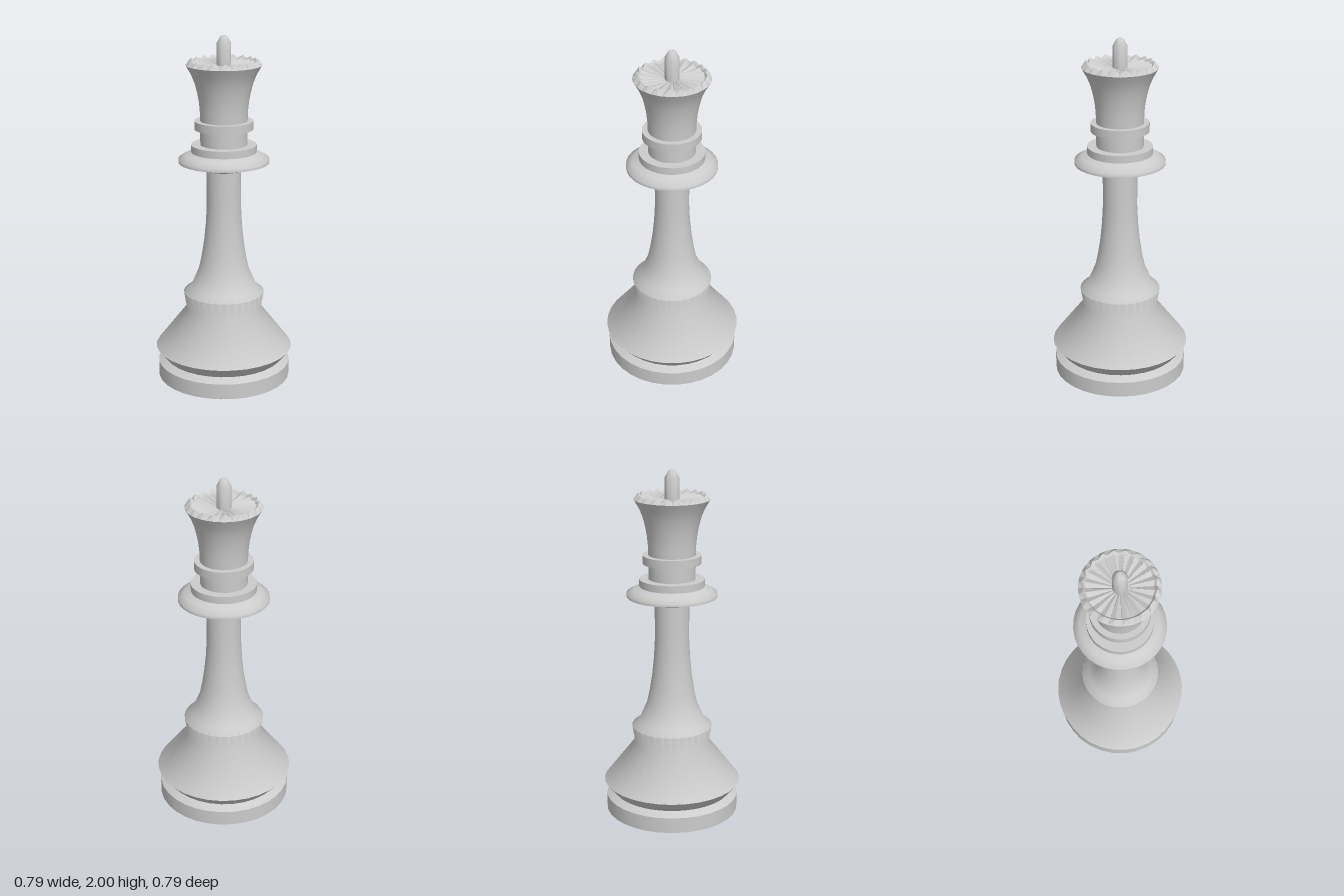
import * as THREE from 'three';
import { toCreasedNormals } from 'three/addons/utils/BufferGeometryUtils.js';

const material = new THREE.MeshStandardMaterial({ color: 0xcccccc });

// Turned part from [radius, height] pairs, listed bottom to top
function turned(name, profile, crease = 1.06, sides = 32) {
  const points = profile.map(([r, y]) => new THREE.Vector2(r, y));
  const geometry = toCreasedNormals(new THREE.LatheGeometry(points, sides), crease);
  const mesh = new THREE.Mesh(geometry, material);
  mesh.name = name;
  return mesh;
}

// Faceted crown top: zigzag rings joined from the rim inwards to the centre
function crownTop() {
  const teeth = 20, n = teeth * 2;
  // each ring: [valley radius, valley y, tip radius, tip y]
  const rings = [
    [0.212, 1.835, 0.212, 1.835],
    [0.182, 1.85, 0.19, 1.866],
    [0.172, 1.836, 0.176, 1.85],
    [0.03, 1.826, 0.03, 1.834],
  ];
  const positions = [];
  const corner = (ring, i) => {
    const [vr, vy, tr, ty] = rings[ring];
    const tip = i % 2 === 1;
    const a = (i / n) * Math.PI * 2, r = tip ? tr : vr;
    return [r * Math.sin(a), tip ? ty : vy, r * Math.cos(a)];
  };
  for (let k = 0; k < rings.length - 1; k++) {
    for (let i = 0; i < n; i++) {
      const a = corner(k, i), b = corner(k, i + 1);
      const c = corner(k + 1, i + 1), d = corner(k + 1, i);
      positions.push(...a, ...b, ...c, ...a, ...c, ...d);
    }
  }
  const geometry = new THREE.BufferGeometry();
  geometry.setAttribute('position', new THREE.Float32BufferAttribute(positions, 3));
  geometry.computeVertexNormals();
  const mesh = new THREE.Mesh(geometry, material);
  mesh.name = 'crownTop';
  return mesh;
}

export function createModel() {
  const group = new THREE.Group();
  group.name = 'chessQueen';

  // Plinth with a groove above it
  group.add(turned('base', [
    [0, 0], [0.385, 0], [0.385, 0.09], [0.345, 0.117], [0.397, 0.18],
  ], 0.9));

  // Flared foot, shoulder and concave stem
  group.add(turned('stem', [
    [0.397, 0.18], [0.217, 0.413], [0.233, 0.512], [0.19, 0.546], [0.145, 0.65],
    [0.128, 0.73], [0.114, 0.82], [0.104, 0.92], [0.098, 1.03], [0.098, 1.24],
  ]));

  // Wide collar with a step on top
  group.add(turned('collar', [
    [0.098, 1.24], [0.257, 1.286], [0.257, 1.306], [0.22, 1.328], [0.185, 1.345],
    [0.185, 1.387], [0.133, 1.387],
  ]));

  // Neck with a thin ring
  group.add(turned('neckRing', [
    [0.133, 1.387], [0.133, 1.475], [0.165, 1.475], [0.165, 1.523], [0.133, 1.523],
  ]));

  // Flaring head
  group.add(turned('crown', [
    [0.133, 1.523], [0.135, 1.58], [0.14, 1.63], [0.149, 1.68], [0.163, 1.735],
    [0.183, 1.785], [0.212, 1.835],
  ]));

  group.add(crownTop());

  // Pointed finial
  group.add(turned('finial', [
    [0.04, 1.82], [0.04, 1.955], [0.022, 1.988], [0.01, 1.998], [0, 2],
  ], 1.06, 24));

  return group;
}
